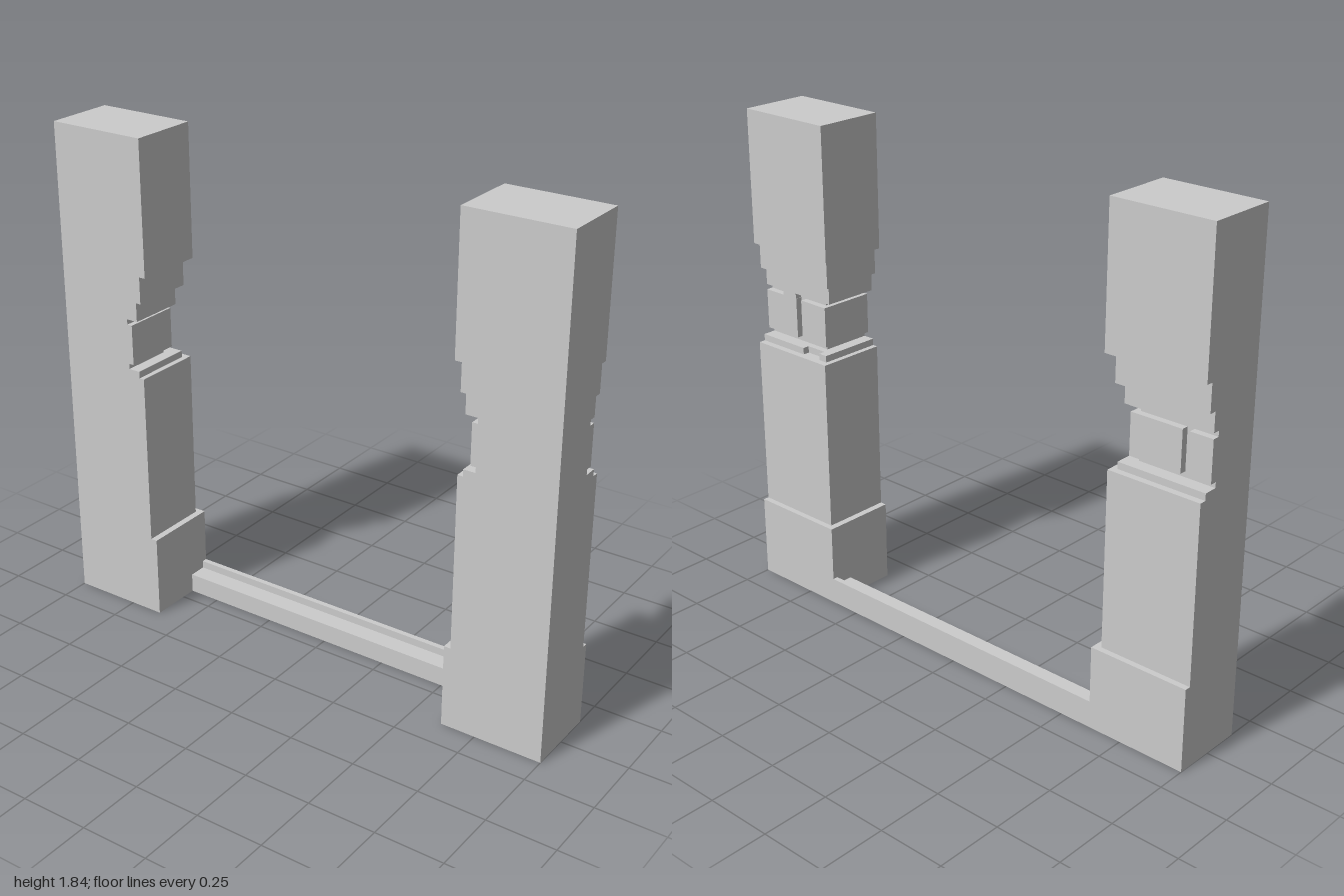
import * as THREE from 'three';

const FRONT = 0.142, OUTER = 1;
const material = new THREE.MeshStandardMaterial({ color: 0xcccccc, flatShading: true });

// Box given by its limits; side = -1 mirrors it across x = 0
function addBox(parent, name, side, [x0, x1], [y0, y1], [z0, z1]) {
  const mesh = new THREE.Mesh(new THREE.BoxGeometry(x1 - x0, y1 - y0, z1 - z0), material);
  mesh.position.set(side * (x0 + x1) / 2, (y0 + y1) / 2, (z0 + z1) / 2);
  mesh.name = name;
  parent.add(mesh);
}

// Post courses: name, bottom, top, inner x, back z (outer and front faces are flush)
const courses = [
  ['plinth', 0, 0.31, 0.62, -0.142],
  ['shaft', 0.31, 0.955, 0.645, -0.12],
  ['lowerLedge', 0.955, 0.98, 0.665, -0.07],
  ['neckCore', 0.98, 1.17, 0.71, -0.045],
  ['lowerCorbel', 1.17, 1.24, 0.665, -0.07],
  ['upperCorbel', 1.24, 1.34, 0.645, -0.095],
  ['upperBlock', 1.34, 1.835, 0.62, -0.12],
];

function createPost(side, name, joint) {
  const post = new THREE.Group();
  post.name = name;
  for (const [part, y0, y1, inner, back] of courses) {
    addBox(post, part, side, [inner, OUTER], [y0, y1], [back, FRONT]);
  }

  // Facing stones round the neck, parted by a vertical joint at the back
  const stone = [1.0, 1.15], facing = [-0.07, -0.045];
  addBox(post, 'innerFacing', side, [0.69, 0.71], stone, [-0.07, FRONT]);
  addBox(post, 'backFacingInner', side, [0.71, joint - 0.013], stone, facing);
  addBox(post, 'backFacingOuter', side, [joint + 0.013, OUTER], stone, facing);

  // Back rim of the lower ledge, chipped on one post
  const rim = [0.955, 0.98], rimDepth = [-0.095, -0.07];
  if (side > 0) {
    addBox(post, 'ledgeRimInner', side, [0.665, 0.70], rim, rimDepth);
    addBox(post, 'ledgeRimOuter', side, [0.785, OUTER], rim, rimDepth);
    addBox(post, 'facingTab', side, [0.843, 0.91], [1.15, 1.17], facing);
  } else {
    addBox(post, 'ledgeRim', side, [0.665, OUTER], rim, rimDepth);
  }
  return post;
}

export function createModel() {
  const model = new THREE.Group();
  model.name = 'gateway';
  model.add(createPost(1, 'leftPost', 0.828));
  model.add(createPost(-1, 'rightPost', 0.9));

  // Threshold with a raised lip along the back
  const sill = new THREE.Group();
  sill.name = 'threshold';
  addBox(sill, 'sill', 1, [-0.62, 0.62], [0, 0.072], [-0.142, -0.055]);
  addBox(sill, 'sillLip', 1, [-0.62, 0.62], [0.072, 0.1], [-0.142, -0.122]);
  model.add(sill);
  return model;
}
